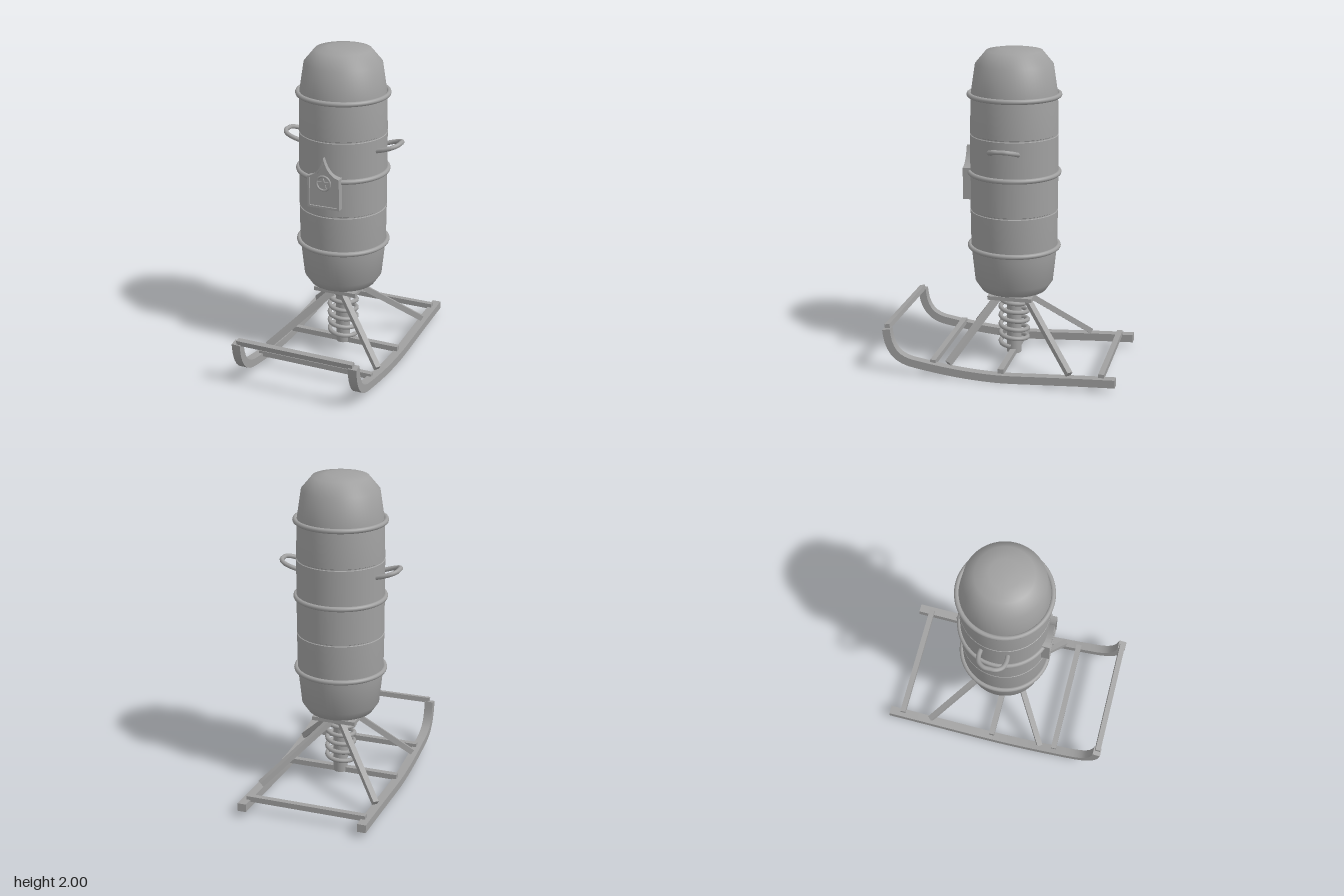
import * as THREE from 'three';
import { toCreasedNormals } from 'three/addons/utils/BufferGeometryUtils.js';

const steel = new THREE.MeshStandardMaterial({ color: 0xa0a0a0 });
steel.name = 'grey steel';
const CZ = -0.015; // z of the barrel axis

export function createModel() {
  const root = new THREE.Group();
  root.name = 'trainingDummyOnSled';

  const add = (name, geo, x = 0, y = 0, z = 0) => {
    const m = new THREE.Mesh(geo, steel);
    m.name = name;
    m.position.set(x, y, z);
    root.add(m);
    return m;
  };
  const box = (name, w, h, d, x, y, z) => add(name, new THREE.BoxGeometry(w, h, d), x, y, z);
  const v3 = (p) => new THREE.Vector3(...p);

  // Square bar between two points
  const bar = (name, a, b, w) => {
    const A = v3(a), B = v3(b);
    const m = add(name, new THREE.BoxGeometry(w, w, A.distanceTo(B)));
    m.position.copy(A).lerp(B, 0.5);
    m.lookAt(B);
    return m;
  };

  // Barrel body with two shallow seams
  const profile = [
    [0, 0.48], [0.197, 0.48], [0.205, 0.484], [0.243, 0.54], [0.262, 0.72], [0.267, 0.78],
    [0.27, 0.994], [0.265, 0.997], [0.265, 1.003], [0.27, 1.006],
    [0.27, 1.469], [0.265, 1.472], [0.265, 1.478], [0.27, 1.481],
    [0.264, 1.72], [0.237, 1.9], [0.17, 1.98], [0.09, 1.994], [0, 2.0],
  ].map((p) => new THREE.Vector2(...p));
  add('barrel', toCreasedNormals(new THREE.LatheGeometry(profile, 64), 0.72), 0, 0, CZ);

  // Rounded hoops
  for (const y of [0.765, 1.235, 1.715]) {
    const hoop = add('hoop', new THREE.TorusGeometry(0.275, 0.015, 10, 64), 0, y, CZ);
    hoop.rotation.x = Math.PI / 2;
  }

  // Side handles, rising outward
  for (const s of [-1, 1]) {
    const pts = [
      [0.245, 1.395, 0.08], [0.3, 1.411, 0.083], [0.345, 1.425, 0.07], [0.37, 1.434, 0.035],
      [0.372, 1.435, 0], [0.37, 1.434, -0.035], [0.345, 1.425, -0.07], [0.3, 1.411, -0.083],
      [0.245, 1.395, -0.08],
    ].map(([x, y, z]) => new THREE.Vector3(s * x, y, z));
    add('handle', new THREE.TubeGeometry(new THREE.CatmullRomCurve3(pts), 40, 0.014, 10), 0, 0, CZ);
  }

  // Pointed plaque: panel, raised border, round medallion with star
  const plaqueOutline = (Target, i) => {
    const s = new Target();
    const w = 0.103 - i, low = 1.065 + i, high = 1.262 - i * 0.5, tip = 1.385 - i * 2.4;
    s.moveTo(-w, low);
    s.lineTo(w, low);
    s.lineTo(w, high);
    s.quadraticCurveTo(0.03, high + 0.012, 0, tip);
    s.quadraticCurveTo(-0.03, high + 0.012, -w, high);
    s.lineTo(-w, low);
    return s;
  };
  const extrude = (shape, depth) => toCreasedNormals(
    new THREE.ExtrudeGeometry(shape, { depth, bevelEnabled: false, curveSegments: 16 }), 0.6);
  add('plaquePanel', extrude(plaqueOutline(THREE.Shape, 0.008), 0.05), 0, 0, 0.225);
  const border = plaqueOutline(THREE.Shape, 0);
  border.holes.push(plaqueOutline(THREE.Path, 0.013));
  add('plaqueBorder', extrude(border, 0.06), 0, 0, 0.225);
  const disc = add('medallion', new THREE.CylinderGeometry(0.044, 0.044, 0.02, 32), 0, 1.225, 0.269);
  disc.rotation.x = Math.PI / 2;
  add('medallionRim', new THREE.TorusGeometry(0.044, 0.007, 8, 32), 0, 1.225, 0.279);
  const star = new THREE.Shape();
  for (let i = 0; i < 10; i++) {
    const r = i % 2 ? 0.015 : 0.036, a = Math.PI / 2 + (i * Math.PI) / 5;
    star[i ? 'lineTo' : 'moveTo'](r * Math.cos(a), r * Math.sin(a));
  }
  star.closePath();
  add('star', extrude(star, 0.012), 0, 1.225, 0.275);

  // Post, mounting plate and coil spring
  add('post', new THREE.CylinderGeometry(0.045, 0.045, 0.44, 32), 0, 0.27, CZ);
  box('mountPlate', 0.28, 0.024, 0.28, 0, 0.446, CZ);
  const coil = [];
  const turns = 5.5;
  for (let i = 0; i <= turns * 16; i++) {
    const a = (i / 16) * Math.PI * 2;
    coil.push(new THREE.Vector3(0.086 * Math.cos(a), 0.11 + (0.32 * i) / (turns * 16), 0.086 * Math.sin(a)));
  }
  add('spring', new THREE.TubeGeometry(new THREE.CatmullRomCurve3(coil), 220, 0.014, 8), 0, 0, CZ);

  // Curved runners, swept from a centre line in the z-y plane
  const line = new THREE.SplineCurve([
    [-0.725, 0.06], [-0.5, 0.05], [-0.28, 0.038], [0, 0.025], [0.25, 0.037], [0.49, 0.069],
    [0.59, 0.092], [0.652, 0.136], [0.688, 0.205], [0.702, 0.285],
  ].map((p) => new THREE.Vector2(...p)));
  const upper = [], lower = [];
  for (let i = 0; i <= 40; i++) {
    const p = line.getPointAt(i / 40), t = line.getTangentAt(i / 40);
    const n = new THREE.Vector2(-t.y, t.x).multiplyScalar(0.025);
    upper.push(p.clone().add(n));
    lower.push(p.clone().sub(n));
  }
  const runnerShape = new THREE.Shape([...lower, ...upper.reverse()]);
  for (const s of [-1, 1]) {
    const runner = add('runner', extrude(runnerShape, 0.055), s * 0.382 + 0.0275);
    runner.rotation.y = -Math.PI / 2;
  }

  // Cross bars
  box('rearCrossBar', 0.76, 0.034, 0.035, 0, 0.087, -0.637);
  box('middleCrossBar', 0.76, 0.034, 0.037, 0, 0.062, -0.017);
  box('frontCrossBar', 0.76, 0.034, 0.035, 0, 0.084, 0.413);
  const tipBar = box('tipCrossBar', 0.76, 0.032, 0.034, 0, 0.294, 0.703);
  tipBar.rotation.x = 0.15;

  // Diagonal struts from the runners to the mounting plate
  for (const s of [-1, 1]) {
    bar('frontStrut', [s * 0.375, 0.085, 0.315], [s * 0.03, 0.428, 0.075], 0.035);
    bar('rearStrut', [s * 0.375, 0.085, -0.442], [s * 0.03, 0.428, -0.1], 0.035);
  }
  return root;
}
